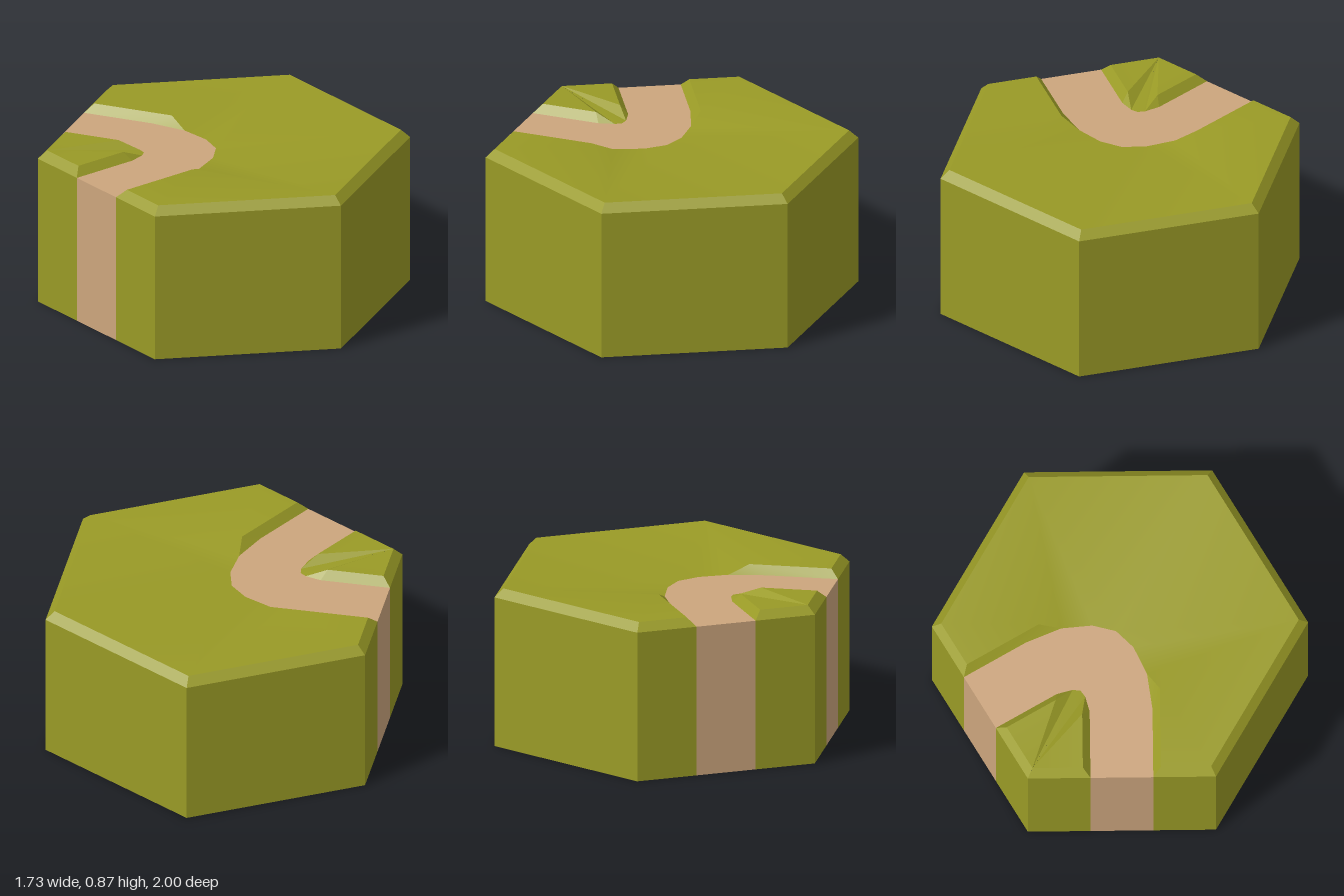
import * as THREE from 'three';
import { toCreasedNormals } from 'three/addons/utils/BufferGeometryUtils.js';

const TOP = 0.87, FLOOR = 0.825;
const CENTRE = new THREE.Vector3(0, 0.4, 0);
const AXIS = new THREE.Vector3(-Math.sqrt(3) / 2, 0, -0.5); // symmetry line of the tile

const at = (y) => (x, z) => new THREE.Vector3(x, y, z);
const high = at(TOP), low = at(FLOOR), base = at(0);
const mirror = (p) => {
  const d = 2 * (p.x * AXIS.x + p.z * AXIS.z);
  return new THREE.Vector3(d * AXIS.x - p.x, p.y, d * AXIS.z - p.z);
};

// Surface from fan polygons of one half, mirrored, every triangle facing outward
function symmetricSurface(polygons) {
  const pos = [];
  const addTriangle = (a, b, c) => {
    const n = b.clone().sub(a).cross(c.clone().sub(a));
    const mid = a.clone().add(b).add(c).divideScalar(3).sub(CENTRE);
    const tri = n.dot(mid) < 0 ? [a, c, b] : [a, b, c];
    for (const p of tri) pos.push(p.x, p.y, p.z);
  };
  for (const poly of polygons) {
    for (const pts of [poly, poly.map(mirror)]) {
      for (let i = 1; i < pts.length - 1; i++) addTriangle(pts[0], pts[i], pts[i + 1]);
    }
  }
  const geo = new THREE.BufferGeometry();
  geo.setAttribute('position', new THREE.Float32BufferAttribute(pos, 3));
  return toCreasedNormals(geo, Math.PI / 6);
}

export function createModel() {
  const grass = new THREE.MeshStandardMaterial({ color: 0x999a26 });
  grass.name = 'olive grass';
  const dirt = new THREE.MeshStandardMaterial({ color: 0xcca57d });
  dirt.name = 'tan path';
  const group = new THREE.Group();
  group.name = 'hexTile';
  const add = (name, material, polygons) => {
    const mesh = new THREE.Mesh(symmetricSurface(polygons), material);
    mesh.name = name;
    group.add(mesh);
  };

  // Rim of the half tile, from the far axis corner round to the near one
  const rim = [[0.866, 0.5], [0, 1], [-0.866, 0.5], [-0.866, 0.167], [-0.866, -0.167], [-0.866, -0.5]]
    .map(([x, z]) => low(x, z));
  // Inner line of the bevel
  const right = high(0.823, 0.475), front = high(0, 0.95), left = high(-0.823, 0.475);
  const outerEnd = high(-0.823, 0.207), innerEnd = high(-0.823, -0.207), corner = high(-0.823, -0.475);
  const outerBank = high(-0.38, 0.207), innerBank = high(-0.52, -0.207);
  // Path edges
  const o = [rim[3], low(-0.48, 0.167), low(-0.28, 0.14), low(-0.13, 0.07), low(-0.037, -0.022)];
  const n = [rim[4], low(-0.49, -0.167), low(-0.405, -0.19), low(-0.372, -0.215)];

  // Lawn dipping down to the bend of the path
  add('lawn', grass, [
    [o[4], right, front], [front, o[4], o[3], o[2], outerBank],
    [outerBank, front, left, outerEnd],
    [corner, innerEnd, innerBank], [corner, innerBank, n[2], n[3]], [innerBank, n[1], n[2]],
  ]);
  // Sloping banks beside the path
  add('pathBanks', grass, [
    [outerBank, outerEnd, o[0], o[1], o[2]], [innerEnd, n[0], n[1], innerBank],
  ]);
  // Bevelled rim
  add('bevel', grass, [
    [rim[0], rim[1], front, right], [rim[1], rim[2], left, front],
    [rim[2], rim[3], outerEnd, left], [rim[4], rim[5], corner, innerEnd],
  ]);
  // Path floor
  const inner = [n[0], n[1], n[1], n[2], n[3]];
  add('path', dirt, o.slice(1).map((p, i) => [o[i], p, inner[i + 1], inner[i]]
    .filter((v, k, list) => list.indexOf(v) === k)));
  // Side walls, with a strip of the path running down each end
  const wall = (i) => [rim[i], rim[i + 1], base(rim[i + 1].x, rim[i + 1].z), base(rim[i].x, rim[i].z)];
  add('walls', grass, [0, 1, 2, 4].map(wall));
  add('pathEnds', dirt, [wall(3)]);
  // Underside
  add('underside', grass, [rim.filter((p, i) => i !== 3 && i !== 4).map((p) => base(p.x, p.z))]);
  return group;
}
